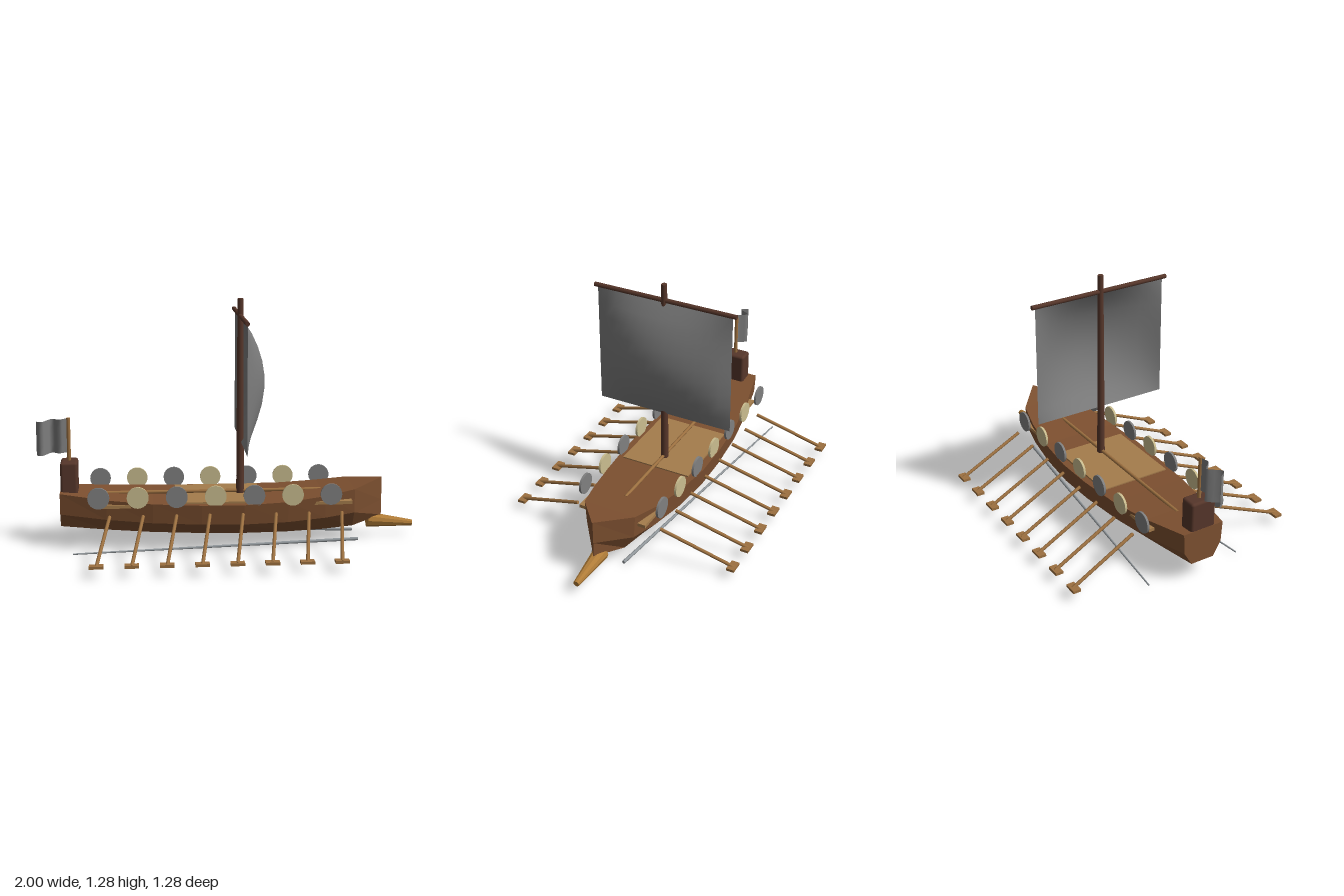
import * as THREE from 'three';
import { RoundedBoxGeometry } from 'three/addons/geometries/RoundedBoxGeometry.js';

const mat = (name, color, extra = {}) => {
  const m = new THREE.MeshStandardMaterial({ color, ...extra });
  m.name = name;
  return m;
};

export function createModel() {
  const ship = new THREE.Group();
  ship.name = 'longship';
  const M = {
    hull: mat('hull brown', 0x7d5030, { flatShading: true }),
    dark: mat('dark wood', 0x56362a),
    deck: mat('deck tan', 0xa57c4c),
    oar: mat('oar wood', 0x9c7040),
    ram: mat('ram ochre', 0xb07c38, { flatShading: true }),
    cloth: mat('grey cloth', 0x7c7c7c, { side: THREE.DoubleSide }),
    grey: mat('shield grey', 0x808080),
    cream: mat('shield cream', 0xcabd8f),
    steel: mat('pale steel', 0x92989c),
  };
  const add = (name, geo, material, x = 0, y = 0, z = 0, parent = ship) => {
    const mesh = new THREE.Mesh(geo, material);
    mesh.name = name;
    mesh.position.set(x, y, z);
    parent.add(mesh);
    return mesh;
  };
  // Round bar between two points, radius r0 at the start and r1 at the end
  const bar = (name, a, b, r0, r1, material, sides = 10) => {
    const p = new THREE.Vector3(...a), q = new THREE.Vector3(...b);
    const d = q.clone().sub(p);
    const mid = p.add(q).multiplyScalar(0.5);
    const mesh = add(name, new THREE.CylinderGeometry(r1, r0, d.length(), sides), material, mid.x, mid.y, mid.z);
    mesh.quaternion.setFromUnitVectors(new THREE.Vector3(0, 1, 0), d.normalize());
    return mesh;
  };

  // Hull: stations of [x, half width, sheer height, bottom height]
  const stations = [
    [-0.88, 0.115, 0.29, 0.105], [-0.64, 0.172, 0.266, 0.09], [-0.4, 0.212, 0.251, 0.078],
    [-0.15, 0.232, 0.244, 0.07], [0.07, 0.236, 0.243, 0.066], [0.3, 0.216, 0.25, 0.066],
    [0.5, 0.184, 0.27, 0.071], [0.66, 0.145, 0.294, 0.08], [0.83, 0.002, 0.325, 0.115],
  ];
  const rings = stations.map(([x, w, top, low]) => {
    const chine = low + (top - low) * 0.4;
    const half = [[top, w], [chine, w * 0.94], [low, w * 0.56]];
    return [...half, ...half.map(([y, z]) => [y, -z]).reverse()].map(([y, z]) => [x, y, z]);
  });
  const tris = [];
  for (let i = 0; i < rings.length - 1; i++) {
    for (let j = 0; j < 6; j++) {
      const k = (j + 1) % 6;
      const a = rings[i][j], b = rings[i][k], c = rings[i + 1][k], d = rings[i + 1][j];
      tris.push(a, b, c, a, c, d);
    }
  }
  const stern = rings[0], bow = rings[rings.length - 1];
  for (let k = 1; k < 5; k++) tris.push(stern[0], stern[k + 1], stern[k], bow[0], bow[k], bow[k + 1]);
  const hullGeo = new THREE.BufferGeometry();
  hullGeo.setAttribute('position', new THREE.Float32BufferAttribute(tris.flat(), 3));
  hullGeo.computeVertexNormals();
  add('hull', hullGeo, M.hull);

  // Deck panel, centre spar and ram
  add('deckPanel', new THREE.BoxGeometry(0.45, 0.02, 0.39), M.deck, -0.05, 0.243, 0);
  bar('centreSpar', [-0.66, 0.264, 0], [0.5, 0.264, 0], 0.009, 0.009, M.oar);
  bar('ram', [0.755, 0.09, 0], [1, 0.066, 0], 0.041, 0.016, M.ram, 10);

  // Mast and yard
  bar('mast', [0.067, 0.2, 0], [0.067, 1.285, 0], 0.021, 0.015, M.dark, 12);
  bar('yard', [0.067, 1.195, -0.4], [0.067, 1.195, 0.4], 0.012, 0.012, M.dark);

  // Sail: sheet bulging forward, fixed at its edges
  const sailGeo = new THREE.PlaneGeometry(0.76, 0.655, 14, 9);
  sailGeo.rotateY(Math.PI / 2);
  const sp = sailGeo.attributes.position;
  for (let i = 0; i < sp.count; i++) {
    const u = Math.cos((sp.getZ(i) / 0.76) * Math.PI);
    const v = Math.cos((sp.getY(i) / 0.655) * Math.PI);
    sp.setX(i, 0.122 * Math.pow(Math.max(0, u), 0.8) * Math.pow(Math.max(0, v), 0.8));
  }
  sailGeo.computeVertexNormals();
  add('sail', sailGeo, M.cloth, 0.07, 0.857, 0);

  // Stern post block with flag
  add('sternBlock', new RoundedBoxGeometry(0.09, 0.175, 0.14, 2, 0.014), M.dark, -0.833, 0.357, 0);
  bar('flagPole', [-0.833, 0.43, 0], [-0.833, 0.67, 0], 0.01, 0.01, M.oar);
  const flagGeo = new THREE.PlaneGeometry(0.16, 0.18, 12, 4);
  const fp = flagGeo.attributes.position;
  for (let i = 0; i < fp.count; i++) {
    const t = (0.08 - fp.getX(i)) / 0.16;
    fp.setZ(i, 0.032 * Math.sin(t * Math.PI * 3) * Math.min(1, t * 2));
    fp.setY(i, fp.getY(i) - 0.015 * t);
  }
  flagGeo.computeVertexNormals();
  add('flag', flagGeo, M.cloth, -0.92, 0.577, 0);

  // Mirrored fittings on both sides
  for (const s of [1, -1]) {
    add('sideRail', new THREE.BoxGeometry(1.33, 0.018, 0.042), M.deck, -0.025, 0.235, s * 0.169);
    bar('spear', [-0.81, 0.012, s * 0.266], [0.69, 0.009, s * 0.09], 0.004, 0.009, M.steel, 8);
    for (let i = 0; i < 7; i++) {
      const shield = add('shield', new THREE.CylinderGeometry(0.056, 0.056, 0.012, 24),
        i % 2 ? M.cream : M.grey, -0.678 + i * 0.2, 0.29, s * 0.223);
      shield.rotation.x = Math.PI / 2;
    }
    for (let i = 0; i < 8; i++) {
      const x = -0.682 + i * 0.171;
      bar('oarShaft', [x, 0.054, s * 0.625], [x + 0.06, 0.197, s * 0.24], 0.009, 0.009, M.oar, 8);
      add('oarBlade', new THREE.BoxGeometry(0.07, 0.014, 0.042), M.oar, x, 0.054, s * 0.618);
    }
  }
  return ship;
}
